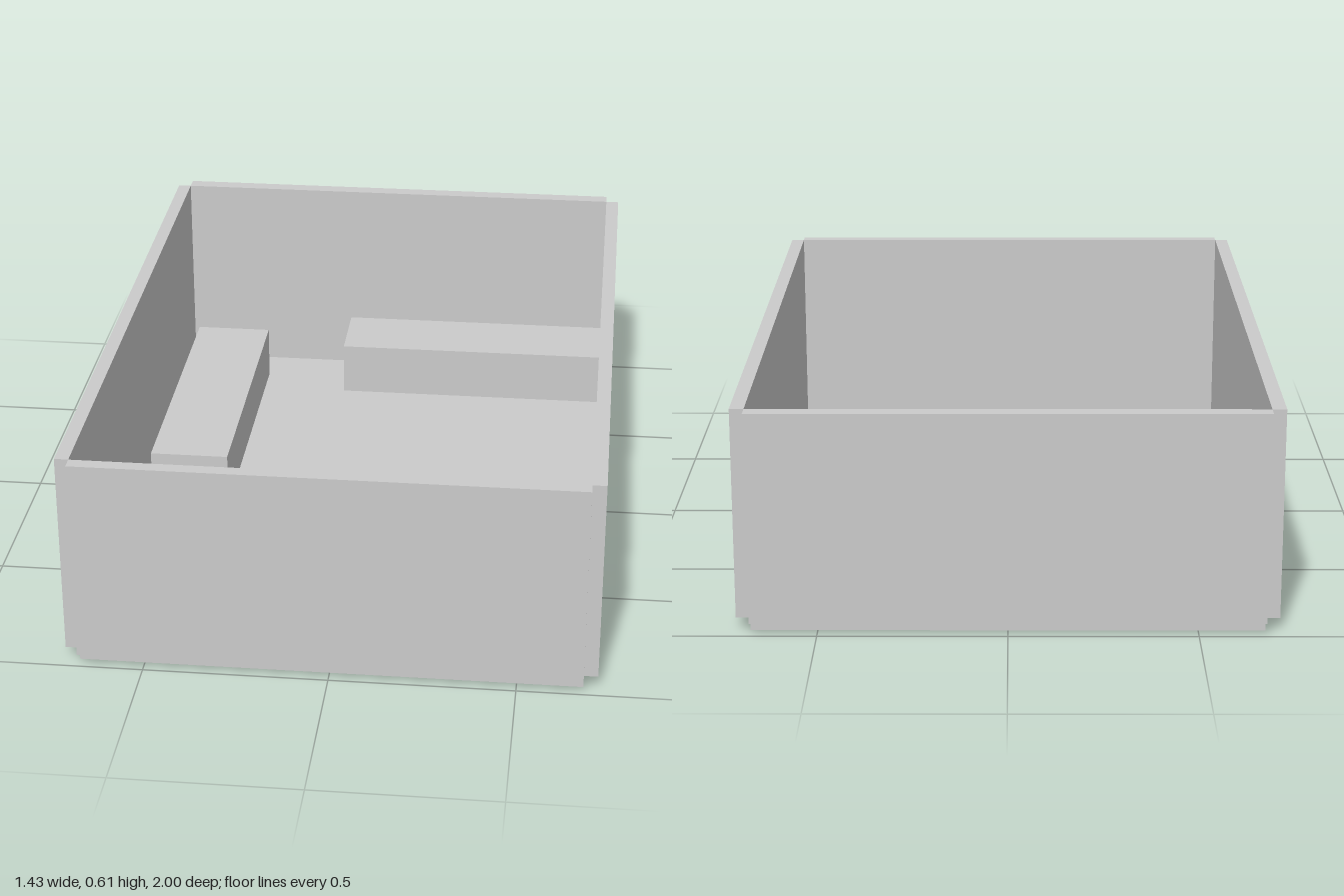
import * as THREE from 'three';

export function createModel() {
  const model = new THREE.Group();
  const grey = new THREE.MeshStandardMaterial({ color: 0xcccccc, flatShading: true });
  const sheet = new THREE.MeshStandardMaterial({ color: 0xcccccc, flatShading: true, side: THREE.DoubleSide });

  // Inner tray limits and heights
  const X = 0.677, BACK = -0.957, FRONT = 0.963, RIM = 0.6;
  const LOW = 0.035, TOP = 0.608, OUT = 0.715;
  const depth = FRONT - BACK, midZ = (FRONT + BACK) / 2;

  // Box between two corners
  function box(name, x0, x1, y0, y1, z0, z1) {
    const mesh = new THREE.Mesh(new THREE.BoxGeometry(x1 - x0, y1 - y0, z1 - z0), grey);
    mesh.position.set((x0 + x1) / 2, (y0 + y1) / 2, (z0 + z1) / 2);
    mesh.name = name;
    model.add(mesh);
  }

  // Thin open-topped tray
  const tray = new THREE.Group();
  tray.name = 'tray';
  function panel(name, w, h, pos, rx, ry) {
    const mesh = new THREE.Mesh(new THREE.PlaneGeometry(w, h), sheet);
    mesh.position.set(...pos);
    mesh.rotation.set(rx, ry, 0);
    mesh.name = name;
    tray.add(mesh);
  }
  panel('floor', 2 * X, depth, [0, 0, midZ], Math.PI / 2, 0);
  panel('trayFront', 2 * X, RIM, [0, RIM / 2, FRONT], 0, 0);
  panel('trayBack', 2 * X, RIM, [0, RIM / 2, BACK], 0, Math.PI);
  panel('trayLeft', depth, RIM, [X, RIM / 2, midZ], 0, Math.PI / 2);
  panel('trayRight', depth, RIM, [-X, RIM / 2, midZ], 0, -Math.PI / 2);
  model.add(tray);

  // Thick outer walls, leaving the corners notched
  box('frontWall', -X, X, LOW, TOP, FRONT, 1);
  box('backWall', -X, X, LOW, TOP, -1, BACK);
  box('leftWall', X, OUT, LOW, TOP, BACK, FRONT);
  box('rightWall', -OUT, -X, LOW, TOP, BACK, FRONT);

  // Low blocks standing on the floor
  const H = 0.16;
  box('rightBlock', -0.64, -0.41, 0, H, -0.83, 0.07);
  box('backBlock', -0.15, X, 0, H, BACK, -0.73);
  box('leftBlock', 0.45, X, 0, H, -0.285, 0.27);

  return model;
}
